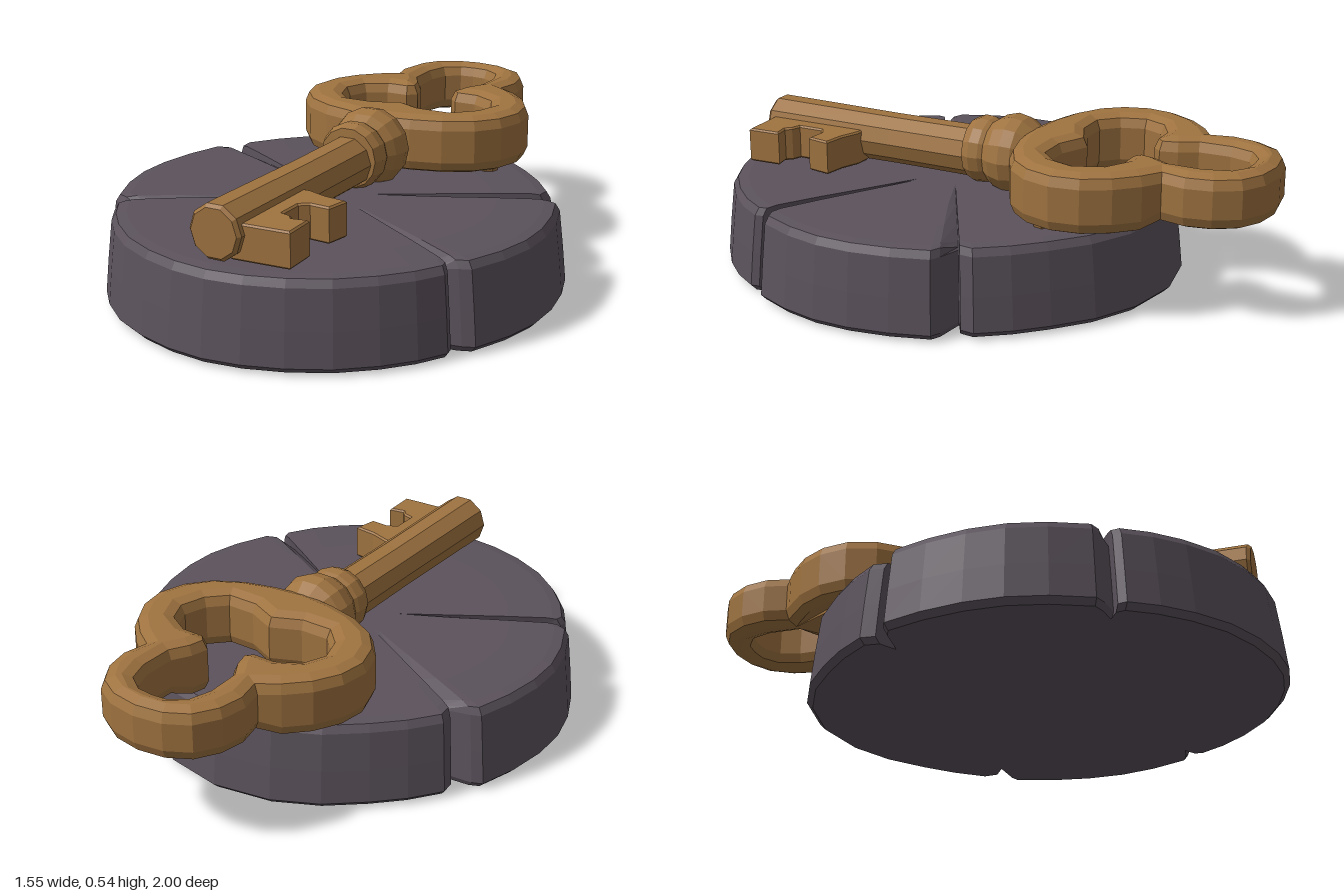
import * as THREE from 'three';

const stone = new THREE.MeshStandardMaterial({ color: 0x5b525c, flatShading: true });
stone.name = 'slate stone';
const brass = new THREE.MeshStandardMaterial({ color: 0x9f7340, flatShading: true });
brass.name = 'aged brass';

function addMesh(parent, name, geometry, material) {
  const mesh = new THREE.Mesh(geometry, material);
  mesh.name = name;
  parent.add(mesh);
  return mesh;
}

// Closed outline from its right half, listed from front to back on the centre line.
function mirrorOutline(half) {
  return [...half, ...half.slice(1, -1).reverse().map(([x, z]) => [-x, z])];
}

const toVectors = (points) => points.map(([x, z]) => new THREE.Vector2(x, -z));

// Flat outline in x/z, extruded upwards with bevelled edges.
function bevelledPlate(outline, hole, bottom, top, bevel, segments) {
  const shape = new THREE.Shape(toVectors(outline));
  if (hole) shape.holes.push(new THREE.Path(toVectors(hole)));
  const geometry = new THREE.ExtrudeGeometry(shape, {
    depth: top - bottom - 2 * bevel, bevelThickness: bevel, bevelSize: bevel,
    bevelOffset: -bevel, bevelSegments: segments,
  });
  return geometry.rotateX(-Math.PI / 2).translate(0, bottom + bevel, 0);
}

// Lathe whose axis lies along z; points are [radius, z].
function latheAlongZ(points, sides, y) {
  const profile = points.map(([r, z]) => new THREE.Vector2(r, z));
  return new THREE.LatheGeometry(profile, sides, Math.PI / sides).rotateX(Math.PI / 2).translate(0, y, 0);
}

// Round slab with four notches, each running into a shallow crack across the top.
function slabGeometry() {
  const cz = 0.18;
  const outline = mirrorOutline([
    [0, 1], [0.13, 0.985], [0.26, 0.945], [0.39, 0.88], [0.5, 0.79], [0.58, 0.7], [0.635, 0.61],
    [0.63, 0.58], [0.58, 0.555], [0.65, 0.545], [0.69, 0.53], [0.745, 0.4], [0.775, 0.27], [0.777, 0.14],
    [0.755, 0], [0.715, -0.13], [0.68, -0.145], [0.575, -0.155], [0.63, -0.19], [0.635, -0.24],
    [0.56, -0.34], [0.47, -0.43], [0.35, -0.53], [0.2, -0.605], [0, -0.64],
  ]);
  const isNotch = outline.map(([x, z]) => Math.abs(Math.abs(x) - 0.578) < 0.004 && z < 0.6);
  // [scale, height, crack depth]
  const rings = [
    [0.975, 0.005, 0], [1, 0.025, 0], [0.985, 0.14, 0], [0.965, 0.27, 0.01], [0.945, 0.295, 0.03],
    [0.9, 0.3, 0.03], [0.7, 0.302, 0.02], [0.45, 0.302, 0.01], [0.2, 0.302, 0],
  ];
  const n = outline.length;
  const positions = [];
  const indices = [];
  for (const [s, y, crack] of rings) {
    outline.forEach(([x, z], i) => positions.push(x * s, y - (isNotch[i] ? crack : 0), cz + (z - cz) * s));
  }
  const bottom = positions.length / 3;
  positions.push(0, 0, cz, 0, 0.302, cz);
  for (let i = 0; i < n; i++) {
    const j = (i + 1) % n;
    for (let r = 0; r < rings.length - 1; r++) {
      const a = r * n + i, b = r * n + j;
      indices.push(a, b, b + n, a, b + n, a + n);
    }
    const last = (rings.length - 1) * n;
    indices.push(bottom, j, i, bottom + 1, last + i, last + j);
  }
  const geometry = new THREE.BufferGeometry();
  geometry.setAttribute('position', new THREE.Float32BufferAttribute(positions, 3));
  geometry.setIndex(indices);
  geometry.computeVertexNormals();
  return geometry;
}

// Handle: wide lobe joined to a smaller loop, with one keyhole-shaped opening.
function bowGeometry() {
  const outline = mirrorOutline([
    [0, -0.11], [0.12, -0.125], [0.23, -0.155], [0.33, -0.21], [0.395, -0.29], [0.425, -0.39],
    [0.41, -0.49], [0.36, -0.58], [0.29, -0.65], [0.23, -0.69], [0.247, -0.77],
    [0.23, -0.86], [0.18, -0.94], [0.1, -0.985], [0, -1],
  ]);
  const opening = mirrorOutline([
    [0, -0.33], [0.1, -0.285], [0.2, -0.285], [0.255, -0.34], [0.28, -0.42], [0.25, -0.49],
    [0.18, -0.53], [0.1, -0.53], [0.07, -0.56], [0.085, -0.62], [0.12, -0.68],
    [0.122, -0.79], [0.1, -0.86], [0.05, -0.895], [0, -0.9],
  ]);
  const geometry = bevelledPlate(outline, opening, 0.31, 0.515, 0.045, 2);
  // The small loop is slightly thinner underneath.
  const p = geometry.attributes.position;
  for (let i = 0; i < p.count; i++) {
    if (p.getZ(i) < -0.66 && p.getY(i) < 0.4) p.setY(i, p.getY(i) + 0.02);
  }
  return geometry;
}

export function createModel() {
  const model = new THREE.Group();
  model.name = 'keyOnStone';
  addMesh(model, 'stoneBase', slabGeometry(), stone);

  const key = new THREE.Group();
  key.name = 'key';
  model.add(key);
  addMesh(key, 'bow', bowGeometry(), brass);
  addMesh(key, 'shaft', latheAlongZ([[0, -0.1], [0.09, -0.1], [0.088, 0.4], [0.093, 0.9], [0.082, 0.912], [0, 0.912]], 10, 0.395), brass);

  // Collar: rounded bulge followed by a narrow ring.
  addMesh(key, 'collar', latheAlongZ([
    [0, -0.15], [0.1, -0.145], [0.132, -0.1], [0.14, -0.06], [0.128, -0.015], [0.108, 0.015],
    [0.115, 0.03], [0.118, 0.065], [0.105, 0.095], [0, 0.1],
  ], 14, 0.408), brass);

  // Bit: two teeth with a slot between them.
  const bit = [
    [0.04, 0.885], [0.245, 0.875], [0.24, 0.755], [0.185, 0.765], [0.17, 0.745], [0.135, 0.735],
    [0.135, 0.645], [0.165, 0.625], [0.235, 0.63], [0.25, 0.545], [0.17, 0.535], [0.1, 0.51], [0.04, 0.51],
  ];
  addMesh(key, 'bit', bevelledPlate(bit, null, 0.31, 0.43, 0.006, 1), brass);

  // Small feet between the bow and the stone.
  for (const side of [-1, 1]) {
    addMesh(key, 'bowFoot', new THREE.CylinderGeometry(0.045, 0.03, 0.05, 7), brass)
      .position.set(side * 0.33, 0.315, -0.33);
  }
  return model;
}
